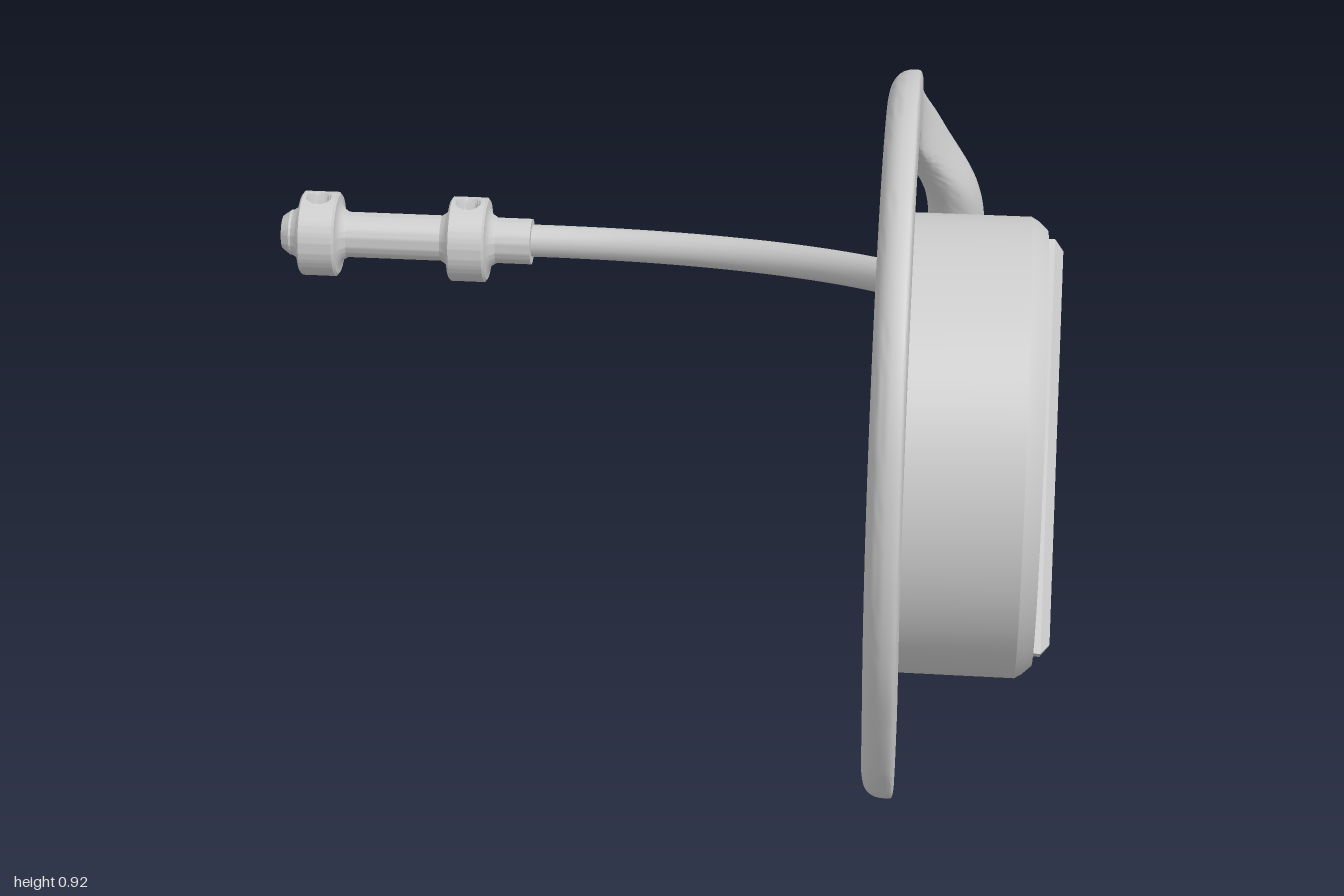
import * as THREE from 'three';
import { toCreasedNormals } from 'three/addons/utils/BufferGeometryUtils.js';

const mat = new THREE.MeshStandardMaterial({ color: 0xcccccc, side: THREE.DoubleSide });
const V = (x, y, z) => new THREE.Vector3(x, y, z);

function mesh(name, geometry, parent) {
  const m = new THREE.Mesh(geometry, mat);
  m.name = name;
  parent.add(m);
  return m;
}

function lathe(profile, segments) {
  const pts = profile.map(([r, h]) => new THREE.Vector2(r, h));
  return toCreasedNormals(new THREE.LatheGeometry(pts, segments), 0.5);
}

// Ear hook: D-shaped section (flat towards +x, domed behind) swept along a curve.
// Rows are x, y, z, width, thickness.
function hookGeometry() {
  const rows = [
    [0.53, 0.43, 0.115, 0.083, 0.083], [0.53, 0.555, 0.149, 0.084, 0.083],
    [0.52, 0.645, 0.176, 0.088, 0.077], [0.48, 0.728, 0.22, 0.092, 0.06],
    [0.455, 0.785, 0.276, 0.092, 0.048]
  ];
  for (let a = 65; a <= 180; a += 23) {
    const t = THREE.MathUtils.degToRad(a);
    rows.push([0.453, 0.452 + 0.424 * Math.sin(t), 0.528 - 0.42 * Math.cos(t), 0.094 + 0.01 * (a - 65) / 115, 0.046]);
  }
  rows.push([0.453, 0.31, 0.924, 0.126, 0.046], [0.453, 0.207, 0.878, 0.14, 0.046],
    [0.453, 0.112, 0.837, 0.128, 0.046], [0.453, 0.051, 0.813, 0.092, 0.045],
    [0.455, 0.023, 0.802, 0.056, 0.038], [0.463, 0.011, 0.798, 0.016, 0.016]);
  const path = new THREE.CatmullRomCurve3(rows.map(r => V(r[0], r[1], r[2])));
  const size = new THREE.CatmullRomCurve3(rows.map(r => V(r[3], r[4], 0)), false, 'catmullrom', 0.5);
  const N = 110, M = 32, pos = [], idx = [];
  for (let i = 0; i <= N; i++) {
    const p = path.getPoint(i / N), s = size.getPoint(i / N), t = path.getTangent(i / N);
    const side = V(0, -t.z, t.y).normalize();
    // round inside the clip, D-shaped along the rest
    const d = THREE.MathUtils.smoothstep(i / N, 0.08, 0.28);
    const flat = 1 - 0.65 * d, dome = 1 - 0.15 * d, front = 0.5 - 0.25 * d;
    for (let j = 0; j < M; j++) {
      const a = j / M * Math.PI * 2, c = Math.cos(a), n = Math.sin(a);
      const e = n > 0 ? flat : dome;
      const u = Math.sign(c) * Math.abs(c) ** e * s.x / 2;
      const v = s.y * (0.5 - front + (n > 0 ? front * n ** e : (front - 1) * (-n) ** e));
      pos.push(p.x + v, p.y + side.y * u, p.z + side.z * u);
    }
  }
  for (let i = 0; i < N; i++) for (let j = 0; j < M; j++) {
    const a = i * M + j, b = i * M + (j + 1) % M;
    idx.push(a, b, a + M, b, b + M, a + M);
  }
  for (let j = 1; j < M - 1; j++) {
    idx.push(0, j + 1, j, N * M, N * M + j, N * M + j + 1);
  }
  const g = new THREE.BufferGeometry();
  g.setAttribute('position', new THREE.Float32BufferAttribute(pos, 3));
  g.setIndex(idx);
  return toCreasedNormals(g, 0.7);
}

// Clip slice: round sleeve joined to a square foot, optionally open on one side
function clipSlice(depth, open) {
  const s = new THREE.Shape(), r = 0.065, h = 0.042;
  s.moveTo(-r, -0.1);
  s.lineTo(r, -0.1);
  s.lineTo(r, 0);
  if (open) {
    s.absarc(0, 0, r, 0, 2.1, false);
    s.absarc(0, 0, h, 2.1, -2.5, true);
    s.lineTo(-r, -0.035);
  } else {
    s.absarc(0, 0, r, 0, Math.PI, false);
    const hole = new THREE.Path();
    hole.absarc(0, 0, h, 0, Math.PI * 2, true);
    s.holes.push(hole);
  }
  s.closePath();
  const g = new THREE.ExtrudeGeometry(s, { depth, bevelEnabled: false, curveSegments: 24 });
  return toCreasedNormals(g, 0.6);
}

// Microphone collar along x with a round dimple sunk into its top
function collarGeometry() {
  const profile = [[0.041, -0.05], [0.047, -0.041], [0.057, -0.035], [0.071, -0.034]];
  for (let i = 0; i <= 16; i++) profile.push([0.076, -0.03 + 0.06 * i / 16]);
  profile.push([0.071, 0.034], [0.057, 0.035], [0.047, 0.041], [0.041, 0.05]);
  const g = new THREE.LatheGeometry(profile.map(([r, h]) => new THREE.Vector2(r, h)), 120);
  g.rotateZ(-Math.PI / 2);
  const p = g.attributes.position;
  for (let i = 0; i < p.count; i++) {
    const d = Math.hypot(p.getX(i), p.getZ(i) - 0.008);
    if (p.getY(i) > 0.06) p.setY(i, p.getY(i) - 0.025 * (1 - THREE.MathUtils.smoothstep(d, 0.016, 0.023)));
  }
  return toCreasedNormals(g, 0.5);
}

export function createModel() {
  const model = new THREE.Group();
  model.name = 'headset';

  // Speaker housing with a raised rim, facing +x
  const housing = mesh('speakerHousing', lathe([
    [0, 0.445], [0.314, 0.445], [0.318, 0.45], [0.318, 0.632], [0.312, 0.642], [0.3, 0.655],
    [0.293, 0.655], [0.289, 0.641], [0, 0.641]], 72), model);
  housing.rotation.z = -Math.PI / 2;
  housing.position.set(0, 0.404, 0.527);

  // Diagonal bevelled grip bar across the face
  const bar = new THREE.Shape();
  bar.moveTo(-0.02, -0.272);
  bar.lineTo(0.02, -0.272);
  bar.lineTo(0.02, 0.272);
  bar.lineTo(-0.02, 0.272);
  bar.closePath();
  const barGeometry = new THREE.ExtrudeGeometry(bar, {
    depth: 0.026, bevelThickness: 0.012, bevelSize: 0.014, bevelSegments: 1 });
  barGeometry.rotateZ(-0.558);
  const grip = mesh('gripBar', barGeometry, model);
  grip.rotation.y = Math.PI / 2;
  grip.position.set(0.64, 0.404, 0.526);

  mesh('earHook', hookGeometry(), model);

  // Hook clip with a window in its sleeve
  const clip = new THREE.Group();
  clip.name = 'hookClip';
  clip.position.set(0.53, 0.397, 0.108);
  clip.rotation.x = -1.31;
  model.add(clip);
  for (const [start, depth, open] of [[0, 0.03, false], [0.03, 0.05, true], [0.08, 0.087, false]]) {
    mesh('clipSleeve', clipSlice(depth, open), clip).position.z = start;
  }

  // Boom socket flaring into the housing
  const from = V(0.55, 0.218, 0.32), to = V(0.53, 0.281, 0.081);
  const len = from.distanceTo(to);
  const socket = mesh('boomSocket', lathe([
    [0, 0], [0.078, 0], [0.067, len - 0.03], [0.043, len], [0, len]], 32), model);
  socket.position.copy(from);
  socket.quaternion.setFromUnitVectors(V(0, 1, 0), to.clone().sub(from).normalize());

  // Microphone boom: short rise, kink, then a quarter turn sloping down
  const boomY = z => 0.328 + 0.293 * (z + 0.075);
  const pts = [V(0.53, 0.273, 0.12), V(0.53, 0.301, 0.01), V(0.53, 0.321, -0.06), V(0.53, 0.325, -0.078)];
  for (const z of [-0.098, -0.16]) pts.push(V(0.53, boomY(z), z));
  for (let i = 0; i <= 10; i++) {
    const a = i / 10 * Math.PI / 2, z = -0.203 - 0.727 * Math.sin(a);
    pts.push(V(-0.2 + 0.73 * Math.cos(a), boomY(z), z));
  }
  pts.push(V(-0.27, 0.077, -0.93));
  mesh('boom', new THREE.TubeGeometry(new THREE.CatmullRomCurve3(pts), 140, 0.029, 18), model);

  // Microphone: slim barrel with two filleted collars
  const mic = new THREE.Group();
  mic.name = 'microphone';
  mic.position.set(0, 0.077, -0.926);
  model.add(mic);
  mesh('micBarrel', lathe([[0, -0.682], [0.03, -0.682], [0.041, -0.667], [0.041, -0.23], [0, -0.23]], 40), mic)
    .rotation.z = -Math.PI / 2;
  for (const x of [-0.613, -0.343]) mesh('micCollar', collarGeometry(), mic).position.x = x;
  return model;
}
